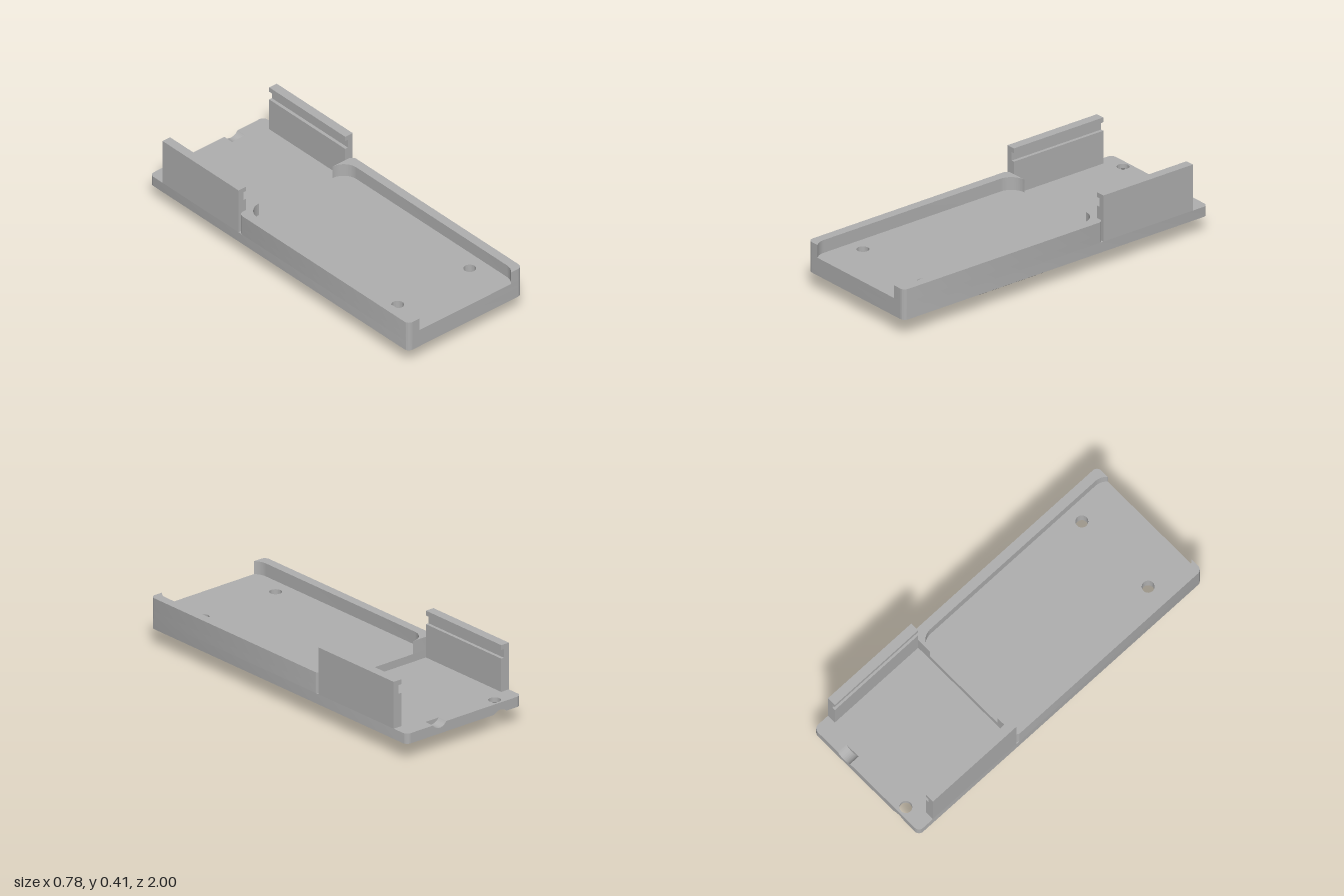
import * as THREE from 'three';
import { toCreasedNormals } from 'three/addons/utils/BufferGeometryUtils.js';

const W = 0.388, R = 0.03;                                // half width, outer corner radius
const Y0 = 0.098, YB = 0.155, YT = 0.198, YW = 0.27;      // underside, rear floor, tray floor, wall top
const ZT = -0.312;                                        // rear end of the tray
const HOLE = 0.033, SINK = 0.062, SINK_H = 0.03;          // screw holes with countersinks
const REAR_HOLE = [-0.245, -0.955], FRONT_HOLES = [[-0.245, 0.755], [0.245, 0.755]];
const EDGE = 0.045;                                       // rear hole centre to rear edge
const GX = 0.165, GW = 0.045, GR = 0.053, GY = YB + 0.028, GZ = -0.94; // rear cable groove
const HALF = Math.PI / 2;

// Rounded rectangle in (x, z); rearCut may add a notch along the rear edge
function outline(z0, z1, rearCut) {
  const s = new THREE.Shape(), w = W - R;
  s.moveTo(-w, z0);
  if (rearCut) rearCut(s);
  s.lineTo(w, z0);
  s.absarc(w, z0 + R, R, -HALF, 0);
  s.absarc(w, z1 - R, R, 0, HALF);
  s.absarc(-w, z1 - R, R, HALF, Math.PI);
  s.absarc(-w, z0 + R, R, Math.PI, 3 * HALF);
  return s;
}

function addHoles(shape, centres, radius) {
  for (const [x, z] of centres) {
    shape.holes.push(new THREE.Path().absarc(x, z, radius, 0, Math.PI * 2, true));
  }
  return shape;
}

// Lay an (x, z) drawing flat with its first face at height y
const lay = (geo, y) => geo.rotateX(HALF).translate(0, y, 0);
const extrude = (shape, depth) =>
  new THREE.ExtrudeGeometry(shape, { depth, bevelEnabled: false, curveSegments: 16 });
const face = (shape) => new THREE.ShapeGeometry(shape, 24);

// Open wall that follows a line of points, extruded along z
function strip(points, depth) {
  const n = points.length, geo = new THREE.PlaneGeometry(1, 1, n - 1, 1);
  points.forEach((p, i) => {
    geo.attributes.position.setXYZ(i, p.x, p.y, 0);
    geo.attributes.position.setXYZ(i + n, p.x, p.y, depth);
  });
  return geo;
}

// Countersunk bore; where it passes the rear edge, its rim climbs the cone
function bore([x, z]) {
  const geo = new THREE.LatheGeometry([
    new THREE.Vector2(SINK, Y0), new THREE.Vector2(HOLE, Y0 + SINK_H), new THREE.Vector2(HOLE, YB),
  ], 48);
  const p = geo.attributes.position;
  for (let i = 0; i < p.count; i++) {
    if (z + p.getZ(i) < -1) {
      const k = (z + 1) / -p.getZ(i);
      const r = Math.hypot(p.getX(i), p.getZ(i)) * k;
      p.setXYZ(i, p.getX(i) * k, Y0 + (SINK - r) * SINK_H / (SINK - HOLE), p.getZ(i) * k);
    }
  }
  return geo.translate(x, 0, z);
}

// Groove arc from its right rim to its left rim
function grooveArc(path) {
  const a = Math.asin((GY - YB) / GR);
  return path.absarc(GX, GY, GR, -a, -Math.PI + a, true);
}

export function createModel() {
  const model = new THREE.Group();
  model.name = 'mountingTray';
  const grey = new THREE.MeshStandardMaterial({ color: 0xb0b0b0, side: THREE.DoubleSide });
  grey.name = 'grey';
  const add = (name, geo) => {
    const mesh = new THREE.Mesh(toCreasedNormals(geo, 0.6), grey);
    mesh.name = name;
    model.add(mesh);
  };

  // Base plate: underside with countersinks, one of them breaking the rear edge
  const [hx, hz] = REAR_HOLE, cut = Math.asin(EDGE / SINK), halfCut = SINK * Math.cos(cut);
  const under = outline(-1, 1, (s) => {
    s.lineTo(hx - halfCut, -1);
    s.absarc(hx, hz, SINK, Math.PI + cut, -cut, true);
  });
  add('baseUnderside', lay(face(addHoles(under, FRONT_HOLES, SINK)), Y0));

  // Base plate: side walls around all but the straight rear edge
  const sides = outline(-1, 1).getPoints(12).slice(1);
  add('baseSides', lay(strip(sides, YB - Y0), YB));

  // Base plate: rear edge with the groove above and the countersink below
  const rear = new THREE.Shape();
  rear.moveTo(-W + R, Y0);
  for (let i = 0; i <= 12; i++) {
    const t = halfCut * (i / 6 - 1);
    rear.lineTo(hx + t, Y0 + (SINK - Math.hypot(t, EDGE)) * SINK_H / (SINK - HOLE));
  }
  rear.lineTo(W - R, Y0);
  rear.lineTo(W - R, YB);
  grooveArc(rear);
  rear.lineTo(-W + R, YB);
  add('baseRearEdge', face(rear).rotateY(0).translate(0, 0, -1));

  // Rear floor, running a little way under the tray
  const floor = outline(-1, -0.2, (s) => {
    s.lineTo(GX - GW, -1);
    s.lineTo(GX - GW, GZ);
    s.lineTo(GX + GW, GZ);
    s.lineTo(GX + GW, -1);
  });
  add('rearFloor', lay(face(addHoles(floor, [REAR_HOLE], HOLE)), YB));

  // Cable groove and its end wall
  add('grooveBed', strip(grooveArc(new THREE.Path()).getPoints(16), GZ + 1).translate(0, 0, -1));
  add('grooveEnd', face(grooveArc(new THREE.Shape())).translate(0, 0, GZ));

  for (const hole of [REAR_HOLE, ...FRONT_HOLES]) add('screwHole', bore(hole));

  // Tray floor
  add('trayFloor', lay(extrude(addHoles(outline(ZT, 1), FRONT_HOLES, HOLE), YT - YB), YT));

  // Tray side wall: rounded outside, pocket corners inside
  const wall = new THREE.Shape();
  wall.moveTo(0.249, ZT);
  wall.lineTo(W - R, ZT);
  wall.absarc(W - R, ZT + R, R, -HALF, 0);
  wall.absarc(W - R, 1 - R, R, 0, HALF);
  wall.lineTo(0.31, 1);
  wall.absarc(0.249, 0.937, 0.088, 0.798, 0, true);
  wall.absarc(0.249, ZT + 0.088, 0.088, 0, -HALF, true);
  const wallPoints = wall.getPoints(16);

  // Grooved rail section
  const railPoints = [
    [W, YB], [W, 0.415], [0.337, 0.415], [0.337, 0.388],
    [0.355, 0.388], [0.355, 0.34], [0.337, 0.34], [0.337, YB],
  ].map(([x, y]) => new THREE.Vector2(x, y));

  for (const [side, sx] of [['left', 1], ['right', -1]]) {
    const mirrored = (pts) => new THREE.Shape(pts.map((p) => new THREE.Vector2(p.x * sx, p.y)));
    add(side + 'TrayWall', lay(extrude(mirrored(wallPoints), YW - YT), YW));
    add(side + 'Rail', extrude(mirrored(railPoints), 0.9 + ZT).translate(0, 0, -0.9));
  }

  // Mounting foot: neck, flange and chamfered bottom
  const FZ = 0.181;
  add('footNeck', new THREE.BoxGeometry(0.326, Y0 - 0.05, 0.326).translate(0, (Y0 + 0.05) / 2, FZ));
  add('footFlange', new THREE.BoxGeometry(0.488, 0.036, 0.488).translate(0, 0.034, FZ));
  add('footChamfer', new THREE.CylinderGeometry(0.244 * Math.SQRT2, 0.228 * Math.SQRT2, 0.016, 4)
    .rotateY(Math.PI / 4).translate(0, 0.008, FZ));

  return model;
}
